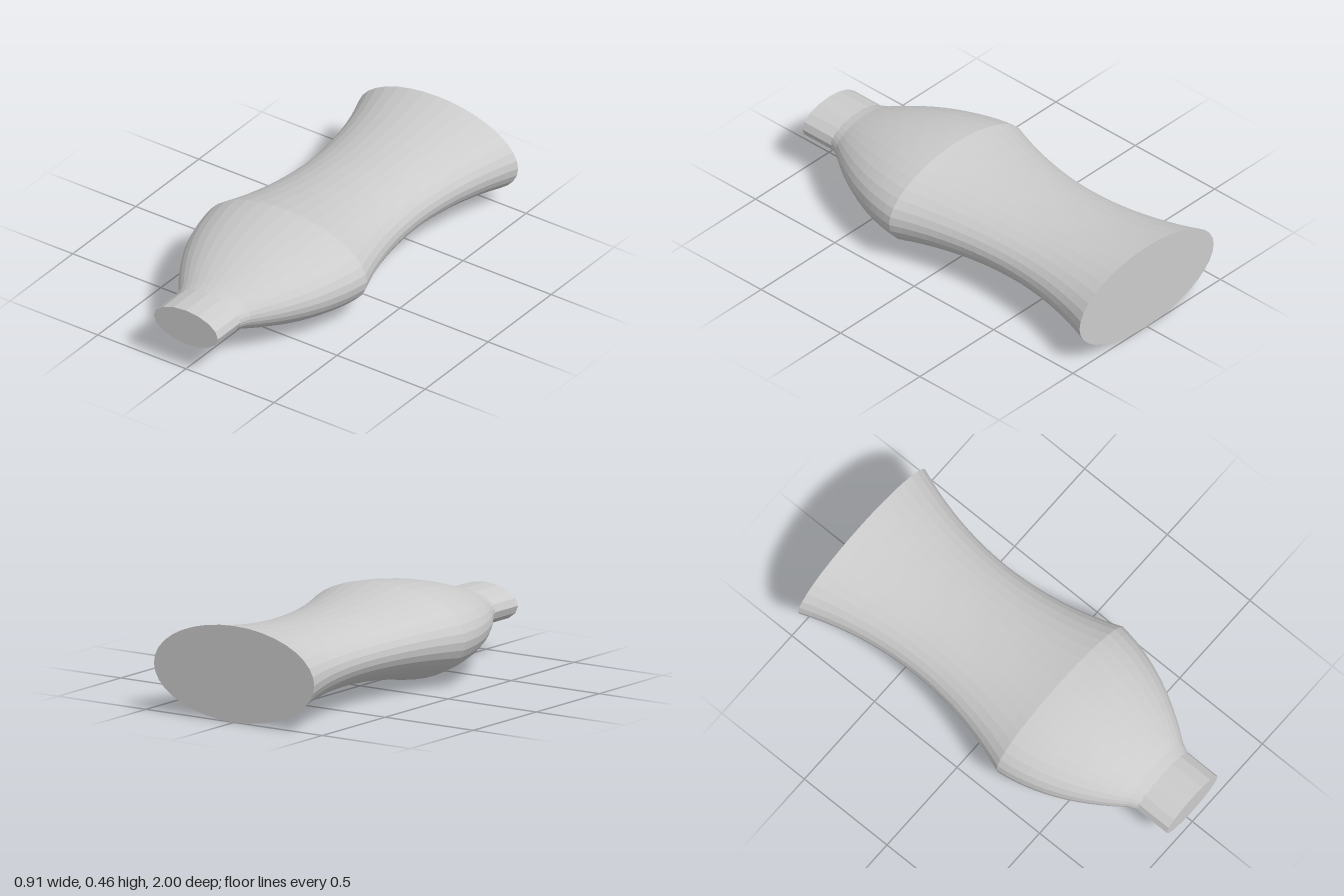
import * as THREE from 'three';

const material = new THREE.MeshStandardMaterial({ color: 0xcccccc, flatShading: true });
const CENTRE_Y = 0.23;
const FLATTEN = 0.5; // height of the oval section relative to its width

// Revolve [radius, z] pairs about the z axis and squash into an oval section
function ovalLathe(name, profile, segments) {
  const geometry = new THREE.LatheGeometry(profile.map(([r, z]) => new THREE.Vector2(r, z)), segments);
  geometry.rotateX(Math.PI / 2);
  geometry.scale(1, FLATTEN, 1);
  geometry.translate(0, CENTRE_Y, 0);
  const mesh = new THREE.Mesh(geometry, material);
  mesh.name = name;
  return mesh;
}

export function createModel() {
  const group = new THREE.Group();
  group.name = 'flattenedBottle';

  // Flat base, then the waisted grip pinched midway
  const profile = [[0, -1]];
  for (let i = 0; i <= 20; i++) {
    const u = i / 10 - 1;
    profile.push([0.337 + 0.118 * u * u, -0.4 + 0.6 * u]);
  }
  // Convex shoulder curving in from the ridge
  for (let i = 1; i <= 12; i++) {
    const t = (0.57 * i) / 12;
    profile.push([0.455 - 0.1 * t - 0.595 * t * t, 0.2 + t]);
  }
  // Short collar into the neck
  profile.push([0.178, 0.825], [0, 0.825]);
  group.add(ovalLathe('body', profile, 36));

  // Straight neck with a closed end
  group.add(ovalLathe('neck', [[0, 0.79], [0.182, 0.79], [0.182, 1], [0, 1]], 16));

  return group;
}
